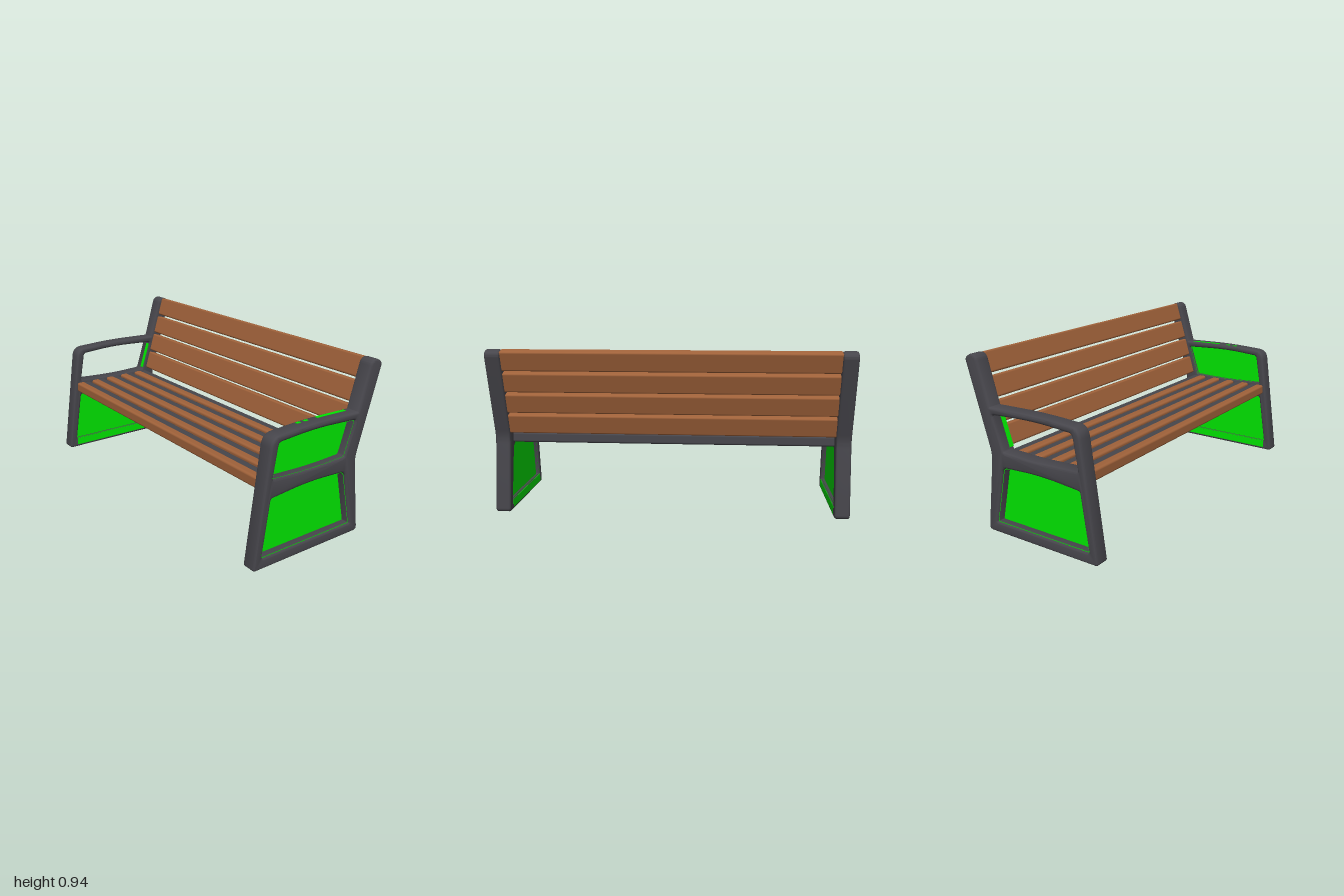
import * as THREE from 'three';
import { toCreasedNormals } from 'three/addons/utils/BufferGeometryUtils.js';
import { RoundedBoxGeometry } from 'three/addons/geometries/RoundedBoxGeometry.js';

const metal = new THREE.MeshStandardMaterial({ name: 'dark metal', color: 0x47464c });
const wood = new THREE.MeshStandardMaterial({ name: 'brown wood', color: 0xa0623a });
const green = new THREE.MeshStandardMaterial({ name: 'green panel', color: 0x00f400 });

// Side profiles as [z, y, corner radius]
const OUTLINE = [
  [0.407, 0, 0.015], [-0.314, 0, 0.03], [-0.26, 0.43, 0.04], [-0.41, 0.916, 0.022],
  [-0.365, 0.942, 0.025], [-0.33, 0.928, 0.02], [-0.256, 0.679, 0.004],
  [0.04, 0.688, 0.12], [0.312, 0.675, 0.055],
];
const UPPER = [
  [0.301, 0.463, 0.006], [0.269, 0.642, 0.018], [0.04, 0.657, 0.12],
  [-0.24, 0.642, 0.012], [-0.178, 0.456, 0.012], [0.03, 0.449, 0.12],
];
const LOWER = [
  [0.356, 0.058, 0.01], [0.308, 0.364, 0.012], [0.06, 0.385, 0.15],
  [-0.183, 0.371, 0.025], [-0.248, 0.058, 0.01],
];

// Closed path with rounded corners; shape x is -z
function rounded(points, path) {
  const p = points.map(([z, y]) => new THREE.Vector2(-z, y));
  const n = p.length;
  points.forEach(([, , r], i) => {
    const c = p[i];
    const toward = (q) => q.clone().sub(c).setLength(Math.min(r, q.distanceTo(c) * 0.49)).add(c);
    const a = toward(p[(i + n - 1) % n]);
    const b = toward(p[(i + 1) % n]);
    if (i === 0) path.moveTo(a.x, a.y);
    else path.lineTo(a.x, a.y);
    path.quadraticCurveTo(c.x, c.y, b.x, b.y);
  });
  path.closePath();
  return path;
}

function add(group, name, geometry, material, x = 0, y = 0, z = 0) {
  const mesh = new THREE.Mesh(geometry, material);
  mesh.name = name;
  mesh.position.set(x, y, z);
  group.add(mesh);
  return mesh;
}

// Frame plate with two openings, beveled all round, centred on x = 0
function frameGeometry() {
  const shape = rounded(OUTLINE, new THREE.Shape());
  shape.holes.push(rounded(UPPER, new THREE.Path()), rounded(LOWER, new THREE.Path()));
  const bevel = 0.012;
  const g = new THREE.ExtrudeGeometry(shape, {
    depth: 0.085 - 2 * bevel, bevelEnabled: true, bevelThickness: bevel,
    bevelSize: bevel, bevelOffset: -bevel, bevelSegments: 3, curveSegments: 8,
  });
  g.translate(0, 0, bevel - 0.0425);
  g.rotateY(Math.PI / 2);
  return toCreasedNormals(g, 0.6);
}

// Flat plate of a shape across the frame, centred on x = 0
function plate(shape, depth) {
  const g = new THREE.ExtrudeGeometry(shape, { depth, bevelEnabled: false, curveSegments: 8 });
  g.translate(0, 0, -depth / 2);
  g.rotateY(Math.PI / 2);
  return toCreasedNormals(g, 0.6);
}

// Infill panel with a thin lining round the walls of its opening
function addInfill(group, name, points, side) {
  add(group, name + 'Panel', plate(rounded(points, new THREE.Shape()), 0.006), green, side * 0.945);
  const mid = [0, 1].map((k) => points.reduce((sum, p) => sum + p[k], 0) / points.length);
  const inner = points.map(([z, y, r]) => [
    z + (mid[0] - z) * 0.012, y + (mid[1] - y) * 0.02, r,
  ]);
  const ring = rounded(points, new THREE.Shape());
  ring.holes.push(rounded(inner, new THREE.Path()));
  add(group, name + 'Lining', plate(ring, 0.066), green, side * 0.9575);
}

export function createModel() {
  const bench = new THREE.Group();
  bench.name = 'bench';

  // Side frames with their infill panels
  const frame = frameGeometry();
  for (const side of [1, -1]) {
    const end = new THREE.Group();
    end.name = side > 0 ? 'leftEnd' : 'rightEnd';
    add(end, 'sideFrame', frame, metal, side * 0.9575);
    addInfill(end, 'lower', LOWER, side);
    // Green facing on the inner side of the foot and the seat rail
    add(end, 'footFace', new THREE.BoxGeometry(0.002, 0.045, 0.6), green, side * 0.915, 0.037, 0.054);
    add(end, 'railFace', new THREE.BoxGeometry(0.002, 0.02, 0.46), green, side * 0.915, 0.392, 0.06);
    if (side > 0) {
      addInfill(end, 'upper', UPPER, side);
      // Panel edge showing through the top of the armrest
      const edge = add(end, 'panelEdge', new THREE.BoxGeometry(0.02, 0.006, 0.2), green, 0.938, 0.6815, -0.12);
      edge.rotation.x = -0.03;
      for (const z of [0.05, 0.1]) {
        add(end, 'panelEdge', new THREE.BoxGeometry(0.016, 0.006, 0.025), green, 0.938, 0.684, z);
      }
    } else {
      const strip = add(end, 'postLining', new THREE.BoxGeometry(0.025, 0.17, 0.005), green, -0.933, 0.55, -0.207);
      strip.rotation.x = -Math.atan2(0.062, 0.186);
    }
    bench.add(end);
  }

  // Seat: wooden front half and dark rear half on every slat
  const seat = new THREE.Group();
  seat.name = 'seat';
  const seatWood = new RoundedBoxGeometry(1.84, 0.06, 0.052, 3, 0.012);
  const seatDark = new RoundedBoxGeometry(1.84, 0.058, 0.074, 3, 0.012);
  for (let i = 0; i < 5; i++) {
    const front = 0.333 - i * 0.11;
    add(seat, 'seatSlat', seatWood, wood, 0, 0.42, front - 0.026);
    add(seat, 'seatSlatRear', seatDark, metal, 0, 0.418, front - 0.058);
  }
  bench.add(seat);

  // Backrest: four slats along the reclined posts
  const back = new THREE.Group();
  back.name = 'backrest';
  const backSlat = new RoundedBoxGeometry(1.84, 0.114, 0.052, 3, 0.01);
  for (let i = 0; i < 4; i++) {
    const y = 0.513 + i * 0.1215;
    const slat = add(back, 'backSlat', backSlat, wood, 0, y, -0.297 - 0.31 * (y - 0.68));
    slat.rotation.x = -Math.atan(0.31);
  }
  bench.add(back);

  return bench;
}
